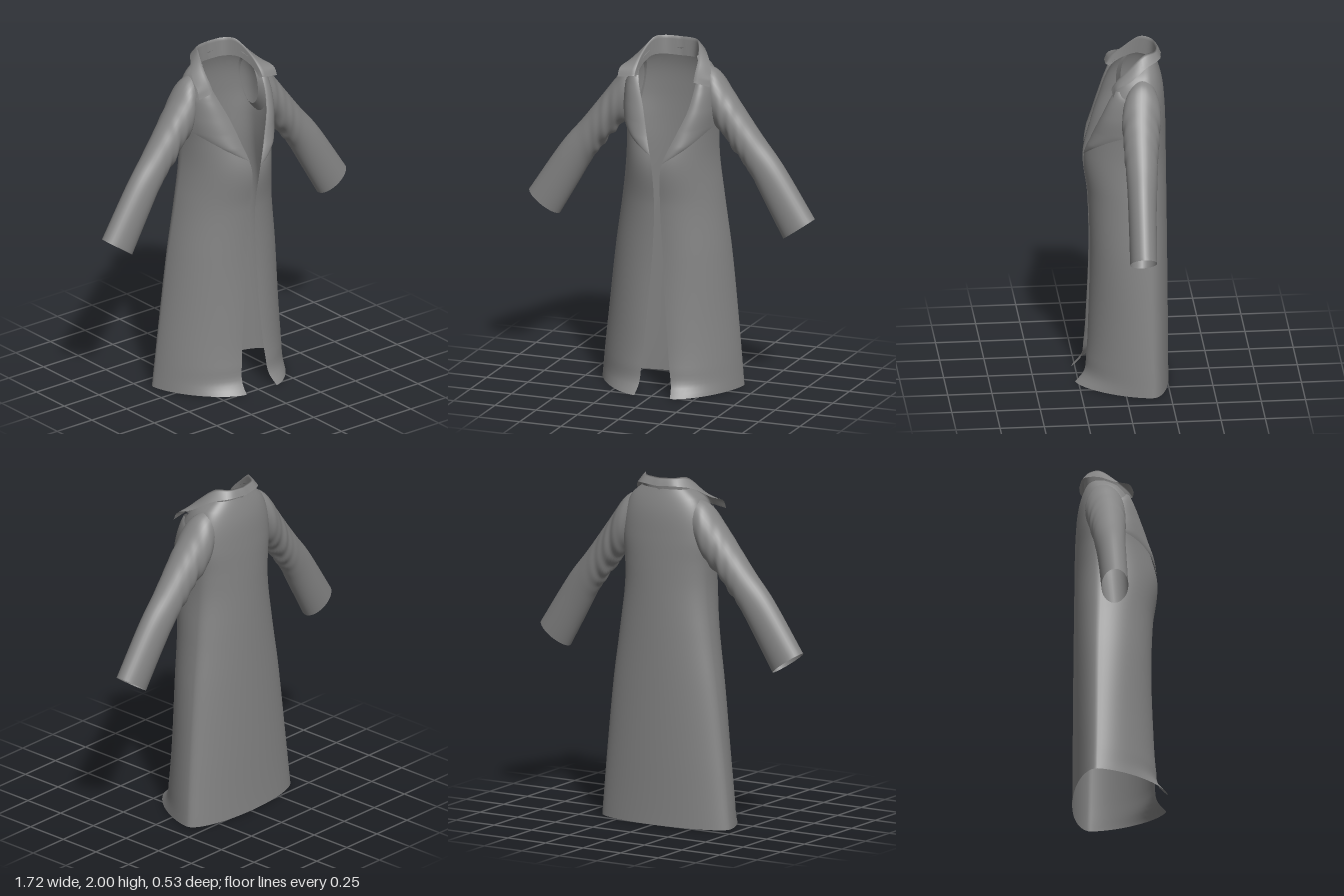
import * as THREE from 'three';

const material = new THREE.MeshStandardMaterial({ color: 0x848484, side: THREE.DoubleSide });

// Smooth curve through a table whose first column is the parameter
function table(rows) {
  const n = rows[0].length - 1;
  const curve = new THREE.CubicInterpolant(rows.map(r => r[0]), rows.flatMap(r => r.slice(1)), n, new Array(n));
  return t => Array.from(curve.evaluate(t));
}

// Sheet of nu x nv quads from point(u, v), with u and v in 0..1
function sheet(name, nu, nv, point, closed = false) {
  const pos = [], index = [], cols = closed ? nv : nv + 1;
  for (let i = 0; i <= nu; i++)
    for (let j = 0; j < cols; j++) pos.push(...point(i / nu, j / nv));
  for (let i = 0; i < nu; i++)
    for (let j = 0; j < nv; j++) {
      const k = (j + 1) % cols;
      const a = i * cols + j, b = i * cols + k, c = a + cols, d = b + cols;
      index.push(a, b, c, b, d, c);
    }
  const g = new THREE.BufferGeometry();
  g.setAttribute('position', new THREE.Float32BufferAttribute(pos, 3));
  g.setIndex(index);
  g.computeVertexNormals();
  const mesh = new THREE.Mesh(g, material);
  mesh.name = name;
  return mesh;
}

// Coat body: height, half width, side z, back z, front z, left edge x, right edge x, front and back fullness
const bodyAt = table([
  [0, 0.422, -0.145, -0.266, 0.268, 0.118, 0.098, 1.3, 1],
  [0.05, 0.417, -0.145, -0.265, 0.22, 0.105, 0.09, 1.2, 1],
  [0.15, 0.408, -0.142, -0.264, 0.203, 0.09, 0.082, 1.15, 1],
  [0.4, 0.383, -0.137, -0.263, 0.188, 0.065, 0.06, 1.1, 1],
  [0.8, 0.338, -0.13, -0.26, 0.178, 0.04, 0.025, 1, 1],
  [1.1, 0.295, -0.12, -0.257, 0.188, 0.027, 0.01, 1, 1],
  [1.35, 0.264, -0.11, -0.254, 0.212, 0.045, 0.018, 1, 0.95],
  [1.5, 0.262, -0.1, -0.252, 0.17, 0.105, 0.06, 1, 0.8],
  [1.65, 0.27, -0.09, -0.247, 0.115, 0.165, 0.105, 1, 0.65],
  [1.8, 0.25, -0.09, -0.233, 0.045, 0.187, 0.16, 1, 0.65],
  [1.88, 0.21, -0.1, -0.212, -0.02, 0.18, 0.172, 1, 0.75],
  [1.925, 0.15, -0.12, -0.195, -0.08, 0.142, 0.14, 1, 0.9],
]);

// f runs 0..1 from the centre back to the side seam, then 1..2 to the front edge
function bodyPoint(y, side, f) {
  const [w0, zs, zb, zf, left, right, front, back] = bodyAt(y);
  const w = w0 * (1 - side * 0.045 * Math.max(0, 1 - y / 1.2));
  const edge = side > 0 ? left : right;
  const a = Math.min(f, 2) * Math.PI / 2;
  const s = Math.max(0, Math.sin(a)), c = Math.abs(Math.cos(a));
  if (f <= 1) return [side * w * s, y, zs + (zb - zs) * Math.pow(c, back)];
  return [side * (edge + (w - edge) * Math.pow(s, front)), y, zs + (zf - zs) * Math.pow(c, front)];
}

// Sleeve: station, upper x y, lower x y, centre z, half depth
const sleeveAt = table([
  [0, 0.19, 1.88, 0.23, 1.58, -0.105, 0.085],
  [0.1, 0.262, 1.845, 0.272, 1.52, -0.096, 0.108],
  [0.25, 0.345, 1.745, 0.345, 1.445, -0.086, 0.103],
  [0.4, 0.425, 1.64, 0.42, 1.35, -0.08, 0.095],
  [0.6, 0.545, 1.485, 0.495, 1.245, -0.075, 0.086],
  [0.78, 0.665, 1.34, 0.57, 1.11, -0.068, 0.08],
  [1, 0.862, 1.045, 0.68, 0.918, -0.06, 0.076],
]);

function sleevePoint(side, u, v) {
  const [ux, uy, lx, ly, z, depth] = sleeveAt(u);
  const a = v * Math.PI * 2, c = Math.cos(a);
  // irregular folds under the arm and inside the elbow
  const wave = Math.sin(u * 55 + 3 * Math.sin(a) + side) + 0.7 * Math.sin(u * 31 - 4 * Math.sin(a));
  const fold = 0.0045 * wave * Math.exp(-Math.pow((u - 0.3) / 0.2, 2)) * (0.5 - c * 0.5);
  return [
    side * ((ux + lx) / 2 + c * ((ux - lx) / 2 + fold)),
    (uy + ly) / 2 + c * ((uy - ly) / 2 + fold),
    z + Math.sin(a) * (depth + fold),
  ];
}

// Lapel: a flap lying on the chest, with a straight slanting lower edge
function lapelPoint(side, u, v) {
  const y0 = side > 0 ? 1.36 : 1.4, knee = side > 0 ? 1.54 : 1.565;
  const y = y0 + (1.81 - y0) * u;
  const span = y < knee ? 0.96 * (y - y0) / (knee - y0)
    : y < 1.76 ? 0.96
    : 0.96 - 8 * (y - 1.76);
  const [x, , z] = bodyPoint(y, side, 2 - Math.asin(span * v) * 2 / Math.PI);
  const lift = 0.004 + 0.012 * Math.sin(Math.PI * Math.min(1, v * 0.85)) * Math.min(1, 5 * u);
  return [x + side * lift * v, y, z + lift];
}

// Collar: station, neck seam xyz, fold xyz, outer edge xyz, from centre back to tip
const collarAt = table([
  [0, 0, 1.88, -0.195, 0, 1.98, -0.203, 0, 1.945, -0.228],
  [0.22, 0.085, 1.885, -0.175, 0.092, 1.985, -0.183, 0.118, 1.95, -0.208],
  [0.42, 0.135, 1.89, -0.11, 0.138, 1.985, -0.12, 0.185, 1.93, -0.13],
  [0.65, 0.163, 1.86, -0.035, 0.17, 1.915, -0.03, 0.245, 1.873, -0.035],
  [0.85, 0.17, 1.825, 0.02, 0.178, 1.85, 0.04, 0.275, 1.843, 0.045],
  [1, 0.168, 1.8, 0.045, 0.18, 1.81, 0.068, 0.28, 1.795, 0.068],
]);

function collarPoint(u, v) {
  const s = u * 2 - 1, p = collarAt(Math.abs(s)), side = Math.sign(s);
  const [a, b, c] = [0, 3, 6].map(i => new THREE.Vector3(side * p[i], p[i + 1], p[i + 2]));
  const q = v < 0.5 ? a.lerp(b, v * 2) : b.lerp(c, v * 2 - 1);
  // slight roll above the fold
  q.y += 0.01 * Math.sin(Math.PI * v) * (1 - Math.abs(s));
  return q.toArray();
}

export function createModel() {
  const coat = new THREE.Group();
  coat.name = 'coat';

  coat.add(sheet('coatBody', 80, 72, (u, v) => {
    const f = v * 4 - 2;
    return bodyPoint(1.925 * u, f < 0 ? -1 : 1, Math.abs(f));
  }));
  coat.add(sheet('collar', 48, 10, collarPoint));

  for (const [side, label] of [[1, 'left'], [-1, 'right']]) {
    coat.add(sheet(label + 'Sleeve', 72, 32, (u, v) => sleevePoint(side, u, v), true));
    coat.add(sheet(label + 'Lapel', 40, 14, (u, v) => lapelPoint(side, u, v)));
  }
  return coat;
}
